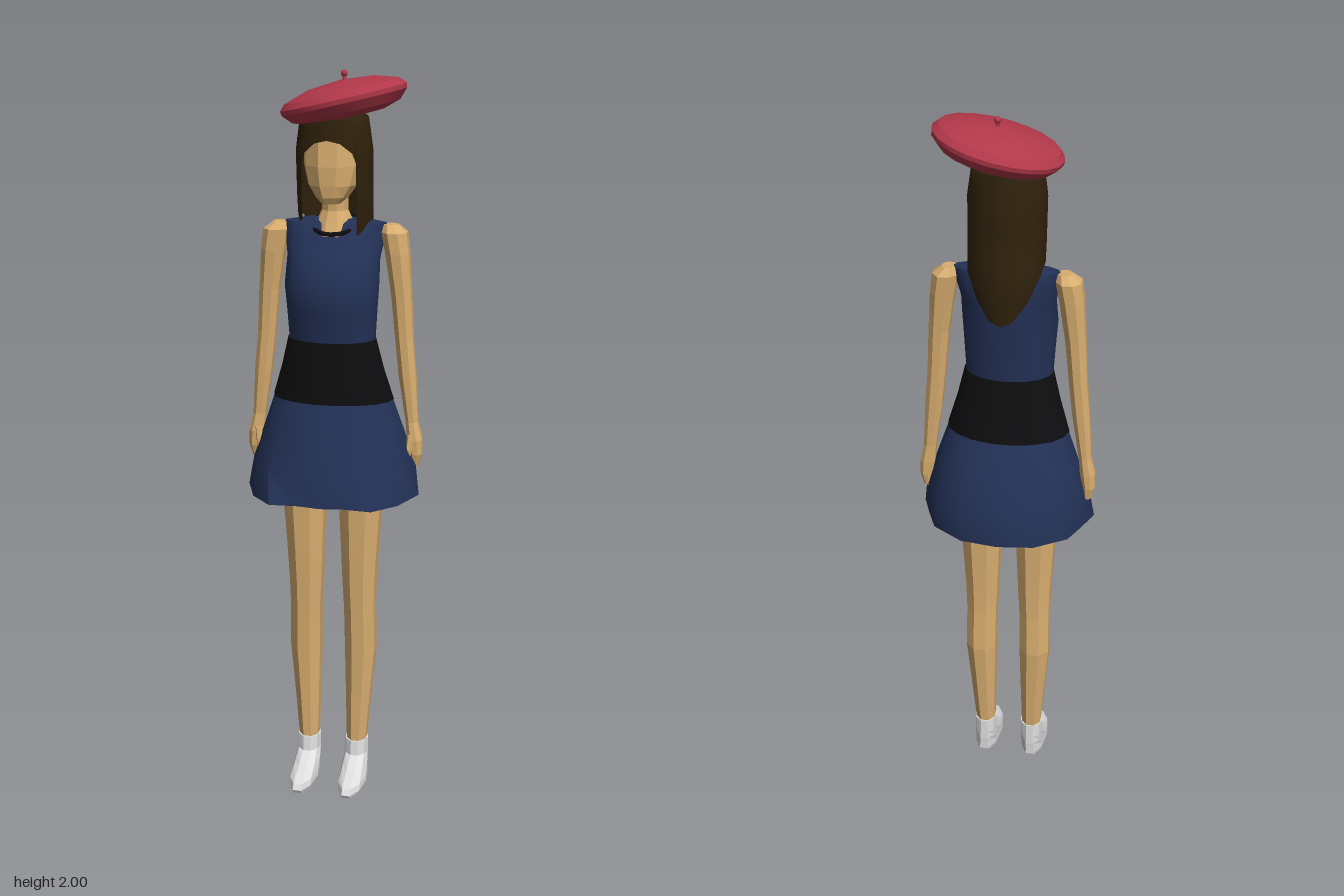
import * as THREE from 'three';
import { toCreasedNormals } from 'three/addons/utils/BufferGeometryUtils.js';

const mat = (name, color, side = THREE.FrontSide) => {
  const m = new THREE.MeshStandardMaterial({ color, side });
  m.name = name;
  return m;
};

// Stack of horizontal outlines, top to bottom, each a list of [x, y, z].
function skin(rings, crease, caps = true) {
  const n = rings[0].length, pos = rings.flat(2), idx = [];
  for (let r = 0; r < rings.length - 1; r++)
    for (let i = 0; i < n; i++) {
      const j = (i + 1) % n, a = r * n, b = a + n;
      idx.push(a + i, b + i, b + j, a + i, b + j, a + j);
    }
  if (caps) {
    const last = (rings.length - 1) * n;
    for (let i = 1; i < n - 1; i++) idx.push(0, i, i + 1, last, last + i + 1, last + i);
  }
  const g = new THREE.BufferGeometry();
  g.setAttribute('position', new THREE.Float32BufferAttribute(pos, 3));
  g.setIndex(idx);
  return toCreasedNormals(g, crease);
}

// Oval outline: [y, centre x, half width, back z, front z]
const oval = ([y, cx, rx, z0, z1], n, s = 1) => Array.from({ length: n }, (_, i) => {
  const a = (i + 0.5) / n * Math.PI * 2;
  return [cx * s + rx * Math.sin(a), y, (z0 + z1) / 2 + (z1 - z0) / 2 * Math.cos(a)];
});
const loft = (rows, n, s = 1, crease = 0.05) => skin(rows.map(r => oval(r, n, s)), crease);

export function createModel() {
  const model = new THREE.Group();
  const M = {
    skin: mat('skin', 0xd9ae70),
    navy: mat('navy cloth', 0x233156, THREE.DoubleSide),
    black: mat('black cloth', 0x0e0e10),
    hair: mat('brown hair', 0x2f210c, THREE.DoubleSide),
    red: mat('red felt', 0xb2384a),
    white: mat('white sock', 0xdedede),
  };
  const add = (name, geo, material) => {
    const m = new THREE.Mesh(geo, material);
    m.name = name;
    model.add(m);
    return m;
  };

  // Head and neck
  add('head', loft([
    [1.88, 0, 0.05, -0.06, 0.06], [1.83, 0, 0.08, -0.08, 0.083], [1.76, 0, 0.08, -0.08, 0.088],
    [1.71, 0, 0.066, -0.05, 0.085], [1.68, 0, 0.045, -0.03, 0.08], [1.663, 0, 0.025, 0, 0.07],
  ], 10), M.skin);
  add('neck', loft([
    [1.71, 0, 0.036, -0.05, 0.03], [1.64, 0, 0.036, -0.05, 0.025],
    [1.61, 0, 0.05, -0.06, 0.035], [1.575, 0, 0.056, -0.06, 0.048],
  ], 10), M.skin);

  // Dress top, sash and collar
  add('bodice', loft([
    [1.618, 0, 0.075, -0.06, 0.015], [1.608, 0, 0.138, -0.062, 0.025], [1.575, 0, 0.136, -0.07, 0.042],
    [1.52, 0, 0.126, -0.07, 0.085], [1.45, 0, 0.128, -0.065, 0.125], [1.38, 0, 0.123, -0.06, 0.112],
    [1.3, 0, 0.118, -0.057, 0.103],
  ], 18, 1, 0.8), M.navy);
  add('sash', loft([
    [1.302, 0, 0.121, -0.06, 0.106], [1.22, 0, 0.141, -0.076, 0.108], [1.135, 0, 0.167, -0.1, 0.112],
  ], 18, 1, 0.8), M.black);
  const collar = add('collar', new THREE.TorusGeometry(0.06, 0.006, 6, 20), M.black);
  collar.position.set(0, 1.604, -0.008);
  collar.rotation.x = Math.PI / 2 + 0.38;

  // Flared skirt: an oval that eases into a wavy hem
  const half = [[0, 0.19], [0.06, 0.18], [0.14, 0.185], [0.2, 0.12], [0.24, 0.015],
    [0.215, -0.05], [0.185, -0.12], [0.1, -0.178], [0, -0.192]];
  const hem = [...half, ...half.slice(1, -1).reverse().map(([x, z]) => [-x, z])];
  const skirtRow = ([y, rx, z0, z1, wave]) => hem.map(([hx, hz], i) => {
    const a = i / hem.length * Math.PI * 2;
    const ox = rx * Math.sin(a), oz = (z0 + z1) / 2 + (z1 - z0) / 2 * Math.cos(a);
    return [ox + (hx - ox) * wave, y, oz + (hz - oz) * wave];
  });
  add('skirt', skin([
    [1.14, 0.163, -0.096, 0.109, 0], [1.05, 0.192, -0.138, 0.135, 0.05],
    [0.95, 0.222, -0.182, 0.163, 0.35], [0.87, 0.24, -0.19, 0.19, 1],
  ].map(skirtRow), 0.7, false), M.navy);

  // Arms, legs and socks
  for (const [side, s] of [['left', 1], ['right', -1]]) {
    add(side + 'Arm', loft([
      [1.605, 0.15, 0.02, -0.04, 0.005], [1.585, 0.16, 0.036, -0.058, 0.028],
      [1.53, 0.169, 0.034, -0.055, 0.028], [1.42, 0.181, 0.029, -0.045, 0.018],
      [1.3, 0.19, 0.026, -0.04, 0.012], [1.2, 0.2, 0.025, -0.038, 0.012],
      [1.07, 0.214, 0.018, -0.033, 0.006], [1.02, 0.222, 0.022, -0.036, 0.012],
      [0.98, 0.226, 0.018, -0.036, 0.01], [0.945, 0.222, 0.012, -0.03, 0],
    ], 8, s), M.skin);
    add(side + 'Thumb', loft([
      [1.035, 0.214, 0.01, -0.004, 0.014], [0.995, 0.209, 0.009, 0.002, 0.02],
      [0.975, 0.21, 0.005, 0.004, 0.016],
    ], 6, s), M.skin);
    add(side + 'Leg', loft([
      [1.1, 0.075, 0.068, -0.055, 0.08], [0.87, 0.079, 0.064, -0.047, 0.074],
      [0.72, 0.077, 0.055, -0.043, 0.068], [0.6, 0.076, 0.049, -0.038, 0.062],
      [0.53, 0.077, 0.046, -0.038, 0.058], [0.4, 0.079, 0.046, -0.045, 0.053],
      [0.25, 0.074, 0.037, -0.034, 0.049], [0.11, 0.07, 0.029, -0.022, 0.046],
    ], 8, s), M.skin);
    add(side + 'Sock', loft([
      [0.117, 0.07, 0.033, -0.026, 0.05], [0.075, 0.07, 0.033, -0.028, 0.056],
      [0.05, 0.07, 0.036, -0.03, 0.105], [0.026, 0.071, 0.038, -0.03, 0.168],
      [0.01, 0.071, 0.039, -0.03, 0.178], [0, 0.071, 0.036, -0.026, 0.172],
    ], 10, s), M.white);
  }

  // Hair: one shell whose lower edge forms fringe, front locks and long back.
  // Sizes by height: [y, half width, back z, front z]
  const sizes = [[1.91, 0.055, -0.06, 0.05], [1.88, 0.09, -0.1, 0.088], [1.8, 0.102, -0.108, 0.093],
    [1.68, 0.101, -0.115, 0.085], [1.6, 0.1, -0.126, 0.07], [1.49, 0.07, -0.118, 0.05]];
  const sizeAt = y => {
    let k = 0;
    while (k < sizes.length - 2 && y < sizes[k + 1][0]) k++;
    const t = (sizes[k][0] - y) / (sizes[k][0] - sizes[k + 1][0]);
    return sizes[k].map((v, i) => v + (sizes[k + 1][i] - v) * t);
  };
  // Lower edge: [angle from the front in degrees, height]
  const edge = [[0, 1.828], [20, 1.82], [38, 1.795], [44, 1.77], [46, 1.58], [60, 1.575], [74, 1.6],
    [92, 1.635], [112, 1.61], [130, 1.55], [155, 1.5], [180, 1.488], [205, 1.5], [230, 1.55],
    [248, 1.61], [268, 1.635], [286, 1.625], [300, 1.61], [311, 1.62], [314, 1.77], [322, 1.795],
    [340, 1.82]];
  const hairRows = [];
  for (let k = 0; k <= 10; k++)
    hairRows.push(edge.map(([deg, low]) => {
      const y = k === 0 ? 1.91 : 1.88 + (low - 1.88) * (k - 1) / 9;
      const [, rx, z0, z1] = sizeAt(y), a = deg * Math.PI / 180;
      return [rx * Math.sin(a), y, (z0 + z1) / 2 + (z1 - z0) / 2 * Math.cos(a)];
    }));
  add('hair', skin(hairRows, 0.8, false), M.hair);

  // Tilted beret with its stalk
  const beret = new THREE.Group();
  beret.name = 'beret';
  const profile = [[0, -0.04], [0.1, -0.044], [0.145, -0.03], [0.168, -0.006], [0.17, 0.006],
    [0.155, 0.022], [0.09, 0.042], [0, 0.05]].map(p => new THREE.Vector2(...p));
  const cap = new THREE.Mesh(toCreasedNormals(new THREE.LatheGeometry(profile, 20), 0.45), M.red);
  cap.name = 'beretCap';
  cap.scale.z = 0.143 / 0.17;
  const stalk = new THREE.Mesh(new THREE.CylinderGeometry(0.004, 0.006, 0.02, 8), M.red);
  stalk.name = 'beretStalk';
  stalk.position.set(0.012, 0.055, -0.008);
  const tip = new THREE.Mesh(new THREE.SphereGeometry(0.009, 10, 8), M.red);
  tip.name = 'beretTip';
  tip.position.set(0.014, 0.064, -0.008);
  beret.add(cap, stalk, tip);
  beret.position.set(0.025, 1.925, -0.002);
  beret.rotation.z = 0.23;
  model.add(beret);
  return model;
}
